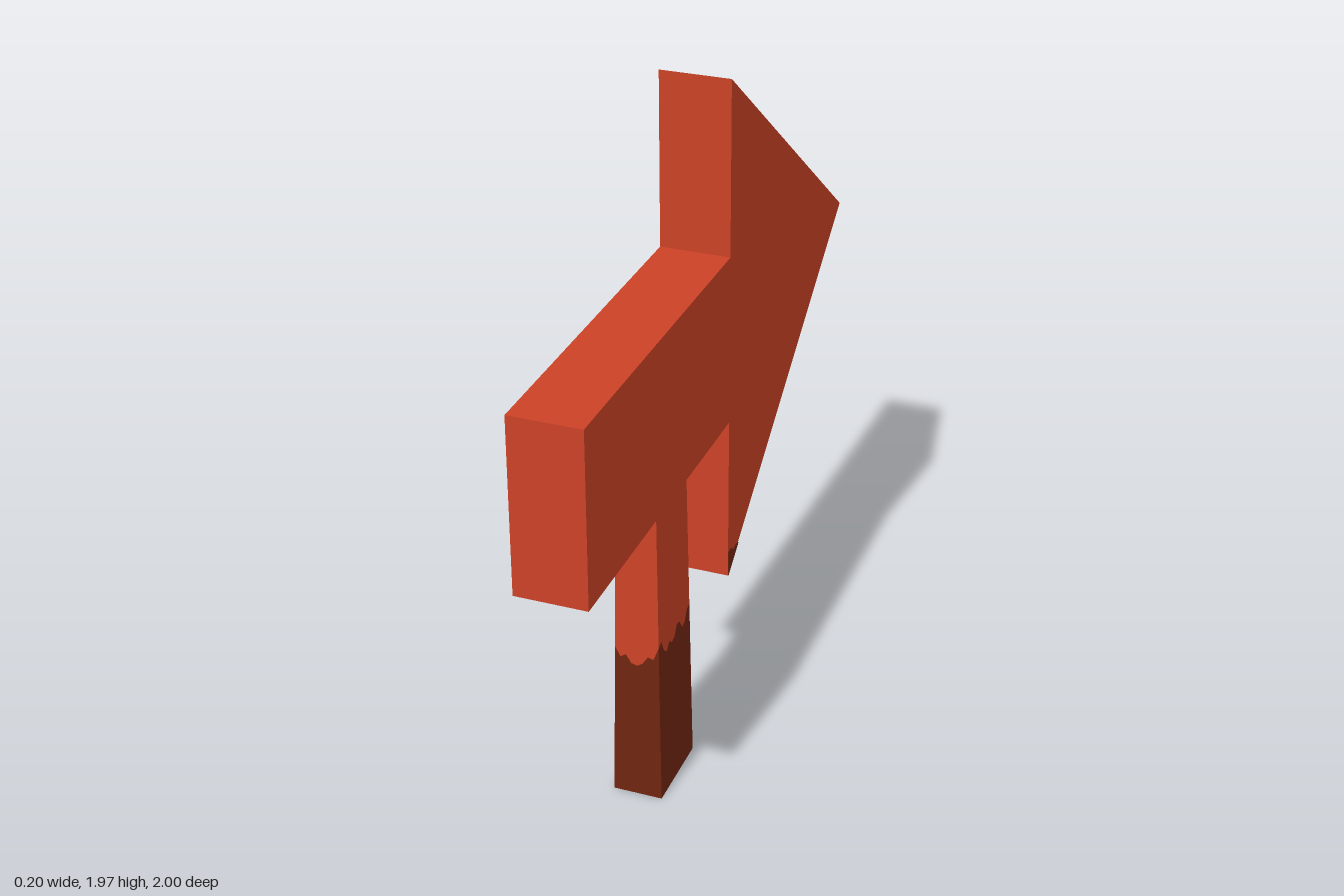
import * as THREE from 'three';

// Shapes are drawn as [-z, y] pairs and extruded along x
function slab(points, x0, x1, holePoints) {
  const toVecs = (pts) => pts.map(([u, v]) => new THREE.Vector2(u, v));
  const shape = new THREE.Shape(toVecs(points));
  if (holePoints) shape.holes.push(new THREE.Path(toVecs(holePoints)));
  const geo = new THREE.ExtrudeGeometry(shape, { depth: x1 - x0, bevelEnabled: false });
  geo.rotateY(Math.PI / 2);
  geo.translate(x0, 0, 0);
  return geo;
}

// Arrow outline moved inward by d on every edge
function arrowOutline(d) {
  const mid = 1.22;
  const tip = 1 - d / 0.6;
  const shaft = 0.25 - d;
  const wing = 0.75 * (tip - d);
  return [
    [-1 + d, mid - shaft], [d, mid - shaft], [d, mid - wing], [tip, mid],
    [d, mid + wing], [d, mid + shaft], [-1 + d, mid + shaft],
  ];
}

// Post cross-section: a rectangle that narrows with height
const POST_TOP = 0.97;
const CORNERS = [[1, 1], [1, -1], [-1, -1], [-1, 1]];
function postPoint(cx, cz, y) {
  const t = y / POST_TOP;
  return [cx * (0.071 - 0.014 * t), y, 0.335 + cz * (0.124 - 0.012 * t)];
}

// Height of the dripping paint edge along each side: +x, -z, -x, +z
const DRIPS = [
  [0.5, 0.51, 0.47, 0.455, 0.475, 0.46, 0.465, 0.495, 0.49, 0.46, 0.465, 0.495, 0.5],
  [0.5, 0.47, 0.46, 0.49, 0.5, 0.47, 0.48, 0.52, 0.5],
  [0.5, 0.47, 0.45, 0.46, 0.49, 0.47, 0.45, 0.455, 0.48, 0.5, 0.48],
  [0.48, 0.45, 0.46, 0.435, 0.43, 0.44, 0.465, 0.46, 0.5],
];

// Walls of the post between two height rules
function postWalls(lower, upper) {
  const pos = [];
  DRIPS.forEach((drip, side) => {
    const a = CORNERS[side], b = CORNERS[(side + 1) % 4];
    const n = drip.length - 1;
    const at = (i, h) => {
      const t = i / n;
      return postPoint(a[0] + (b[0] - a[0]) * t, a[1] + (b[1] - a[1]) * t, h(drip[i]));
    };
    for (let i = 0; i < n; i++) {
      const p = at(i, lower), q = at(i + 1, lower), r = at(i + 1, upper), s = at(i, upper);
      pos.push(...p, ...q, ...r, ...p, ...r, ...s);
    }
  });
  const geo = new THREE.BufferGeometry();
  geo.setAttribute('position', new THREE.Float32BufferAttribute(pos, 3));
  geo.computeVertexNormals();
  return geo;
}

export function createModel() {
  const mat = (name, color) => {
    const m = new THREE.MeshStandardMaterial({ color });
    m.name = name;
    return m;
  };
  const red = mat('red paint', 0xcc4226);
  const brown = mat('dark wood', 0x6f2510);
  const yellow = mat('yellow panel', 0xe39b3d);

  const model = new THREE.Group();
  model.name = 'arrowSign';
  const add = (name, geo, material) => {
    const mesh = new THREE.Mesh(geo, material);
    mesh.name = name;
    model.add(mesh);
    return mesh;
  };

  // Arrow: solid board with a raised rim around a sunken panel on the -x side
  const floor = -0.014;
  const outer = arrowOutline(0), inner = arrowOutline(0.1);
  add('arrowBoard', slab(outer, floor, 0.1), red);
  add('arrowRim', slab(outer, -0.1, floor, inner), red);
  add('arrowPanel', slab(inner, floor - 0.003, floor), yellow);

  // Bare wood at the lower corner of the arrowhead, on both faces
  const bare = [[0, 0.47], [0.085, 0.534], [0.06, 0.54], [0.04, 0.535], [0.02, 0.552], [0, 0.55]];
  add('bareCornerLeft', slab(bare, 0.1, 0.102), brown);
  add('bareCornerRight', slab(bare, -0.102, -0.1), brown);

  // Post: bare wood below, paint running down from above
  add('postWood', postWalls(() => 0, (y) => y), brown);
  add('postPaint', postWalls((y) => y, () => POST_TOP), red);
  const base = new THREE.PlaneGeometry(0.142, 0.248);
  base.rotateX(Math.PI / 2);
  base.translate(0, 0, 0.335);
  add('postBase', base, brown);

  return model;
}
